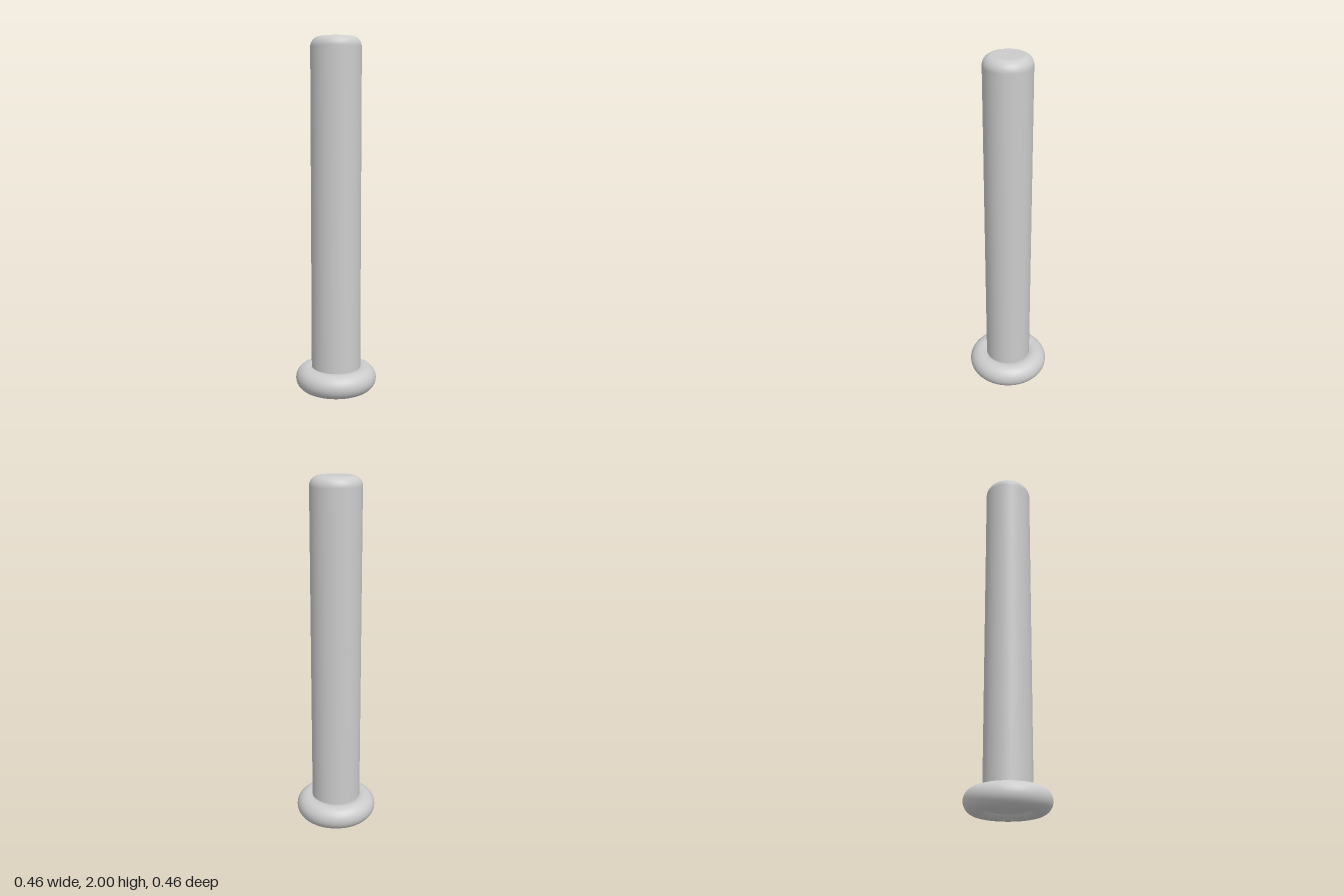
import * as THREE from 'three';

export function createModel() {
  const group = new THREE.Group();
  const material = new THREE.MeshStandardMaterial({ color: 0xcccccc });

  // Slightly oval shaft with a rounded top edge and a flat underside
  const radius = 0.141, fillet = 0.055, bottom = 0.026, top = 2;
  const profile = [
    new THREE.Vector2(0, bottom),
    new THREE.Vector2(radius - 0.001, bottom),
    new THREE.Vector2(radius, bottom + 0.001),
  ];
  const steps = 12;
  for (let i = 0; i <= steps; i++) {
    const a = (i / steps) * Math.PI / 2;
    profile.push(new THREE.Vector2(
      radius - fillet + fillet * Math.cos(a),
      top - fillet + fillet * Math.sin(a)
    ));
  }
  profile.push(new THREE.Vector2(0, top));
  const shaft = new THREE.Mesh(new THREE.LatheGeometry(profile, 96), material);
  shaft.name = 'shaft';
  shaft.scale.z = 0.1315 / radius;
  group.add(shaft);

  // Ring around the foot of the shaft
  const tube = 0.069;
  const ringGeometry = new THREE.TorusGeometry(0.232 - tube, tube, 32, 96);
  ringGeometry.rotateX(Math.PI / 2);
  const ring = new THREE.Mesh(ringGeometry, material);
  ring.name = 'baseRing';
  ring.position.y = tube;
  group.add(ring);

  return group;
}
